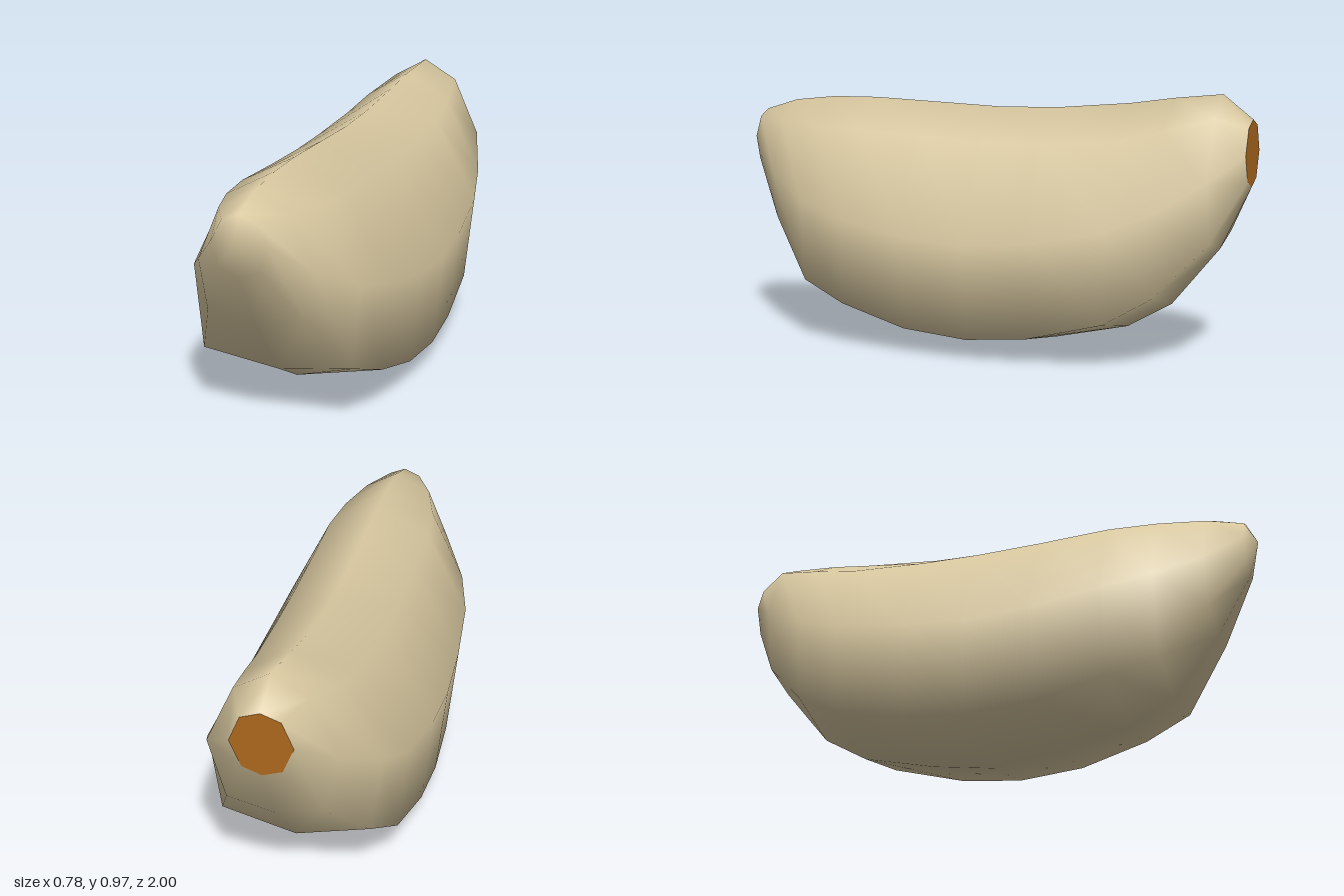
import * as THREE from 'three';

// Cross-sections from front to back:
// z, centre x, top y, shoulder [half width, y], side [half width, y], lower corner [half width, y], keel y
const SECTIONS = [
  [0.96, 0, 0.86, [0.06, 0.835], [0.10, 0.76], [0.075, 0.67], 0.64],
  [0.83, 0, 0.90, [0.13, 0.83], [0.21, 0.64], [0.18, 0.46], 0.42],
  [0.66, 0, 0.918, [0.18, 0.82], [0.31, 0.55], [0.28, 0.24], 0.20],
  [0.48, 0, 0.92, [0.20, 0.815], [0.36, 0.50], [0.325, 0.17], 0.10],
  [0.22, 0, 0.91, [0.20, 0.80], [0.382, 0.45], [0.345, 0.10], 0.04],
  [-0.03, 0, 0.90, [0.20, 0.79], [0.39, 0.43], [0.353, 0.08], 0.003],
  [-0.26, 0, 0.905, [0.20, 0.79], [0.382, 0.45], [0.345, 0.10], 0.035],
  [-0.54, 0.005, 0.93, [0.19, 0.81], [0.355, 0.50], [0.32, 0.17], 0.10],
  [-0.71, 0.015, 0.955, [0.17, 0.85], [0.31, 0.57], [0.27, 0.27], 0.20],
  [-0.89, 0.035, 0.975, [0.13, 0.90], [0.23, 0.68], [0.17, 0.46], 0.42],
  [-1.0, 0.04, 0.89, [0.07, 0.865], [0.11, 0.77], [0.07, 0.675], 0.65],
];
const SIDES = 8;

// Eight points of one section, counter-clockwise seen from the front
function ringPoints([z, cx, top, shoulder, side, low, keel]) {
  const pairs = [shoulder, side, low];
  return [
    [cx, top, z],
    ...pairs.map(([w, y]) => [cx - w, y, z]),
    [cx, keel, z],
    ...pairs.slice().reverse().map(([w, y]) => [cx + w, y, z]),
  ];
}

function meshFrom(name, points, index, color) {
  const geometry = new THREE.BufferGeometry();
  geometry.setAttribute('position', new THREE.Float32BufferAttribute(points.flat(), 3));
  geometry.setIndex(index);
  geometry.computeVertexNormals();
  const mesh = new THREE.Mesh(geometry, new THREE.MeshStandardMaterial({ color }));
  mesh.name = name;
  return mesh;
}

export function createModel() {
  const group = new THREE.Group();
  group.name = 'clove';

  // Smooth skin lofted through the sections, closed by a pointed front tip
  const rings = SECTIONS.map(ringPoints);
  const points = rings.flat();
  const tip = points.push([0, 0.78, 1]) - 1;
  const index = [];
  for (let j = 0; j < SIDES; j++) {
    const k = (j + 1) % SIDES;
    index.push(tip, j, k);
    for (let i = 0; i < rings.length - 1; i++) {
      const a = i * SIDES + j, b = i * SIDES + k;
      index.push(a, a + SIDES, b, b, a + SIDES, b + SIDES);
    }
  }
  group.add(meshFrom('body', points, index, 0xd8c8a0));

  // Flat root scar closing the back end
  const rim = rings[rings.length - 1];
  const fan = [];
  for (let j = 1; j < SIDES - 1; j++) fan.push(0, j + 1, j);
  group.add(meshFrom('rootEnd', rim, fan, 0xb06a1e));

  return group;
}
